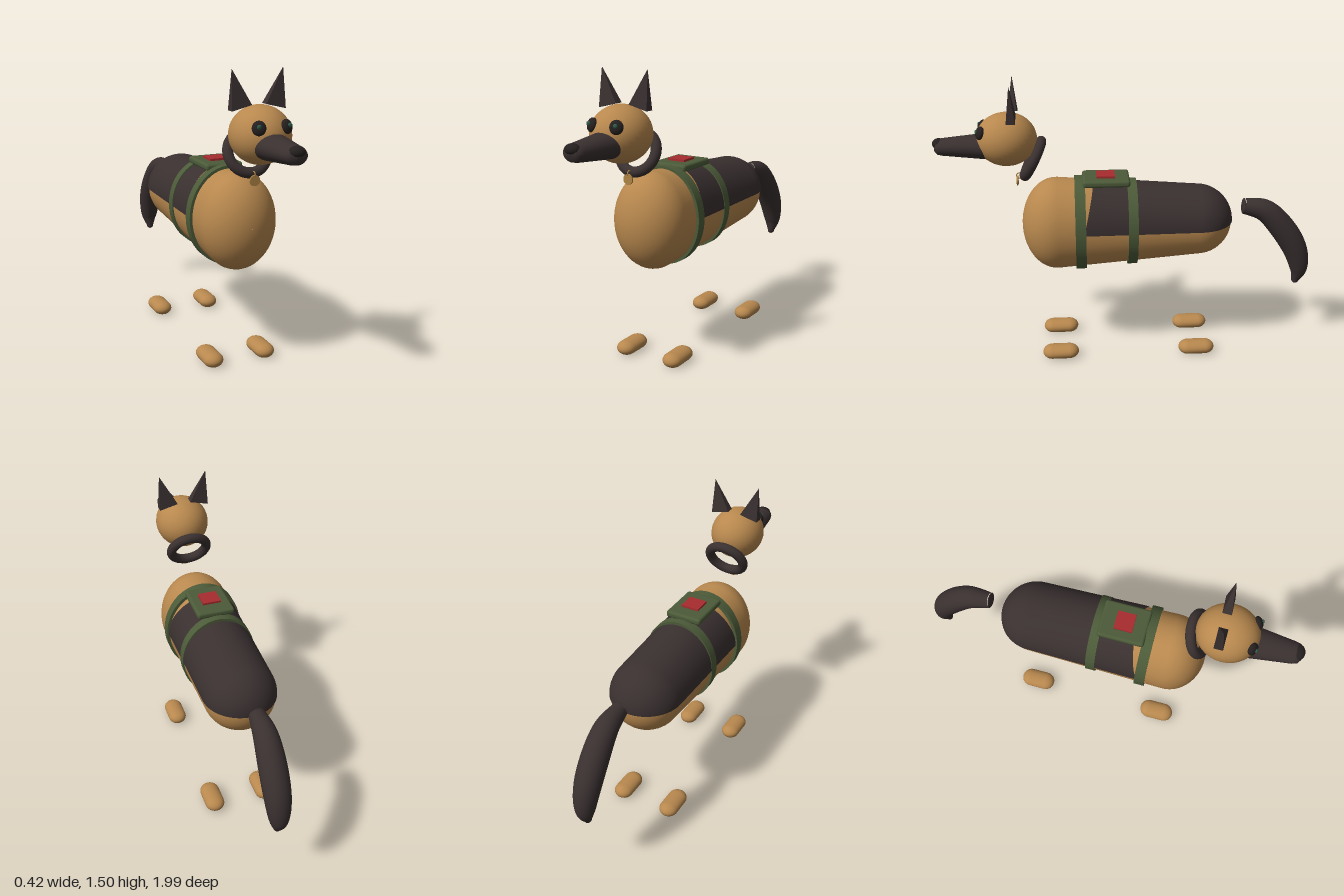
import * as THREE from 'three';
import { ParametricGeometry } from 'three/addons/geometries/ParametricGeometry.js';
import { RoundedBoxGeometry } from 'three/addons/geometries/RoundedBoxGeometry.js';

const mat = (name, color) => Object.assign(new THREE.MeshStandardMaterial({ color }), { name });

export function createModel() {
  const tan = mat('tan fur', 0xb8884e);
  const dark = mat('dark fur', 0x3a3030);
  const black = mat('black', 0x262020);
  const green = mat('harness green', 0x4c5b39);
  const red = mat('patch red', 0xa82c2e);
  const brass = mat('tag brass', 0xb08545);
  const iris = mat('iris green', 0x2f5a48);

  const model = new THREE.Group();
  model.name = 'dog';
  const add = (name, geometry, material, x = 0, y = 0, z = 0) => {
    const mesh = new THREE.Mesh(geometry, material);
    mesh.name = name;
    mesh.position.set(x, y, z);
    model.add(mesh);
    return mesh;
  };
  const ball = (rx, ry, rz) => new THREE.SphereGeometry(1, 32, 24).scale(rx, ry, rz);

  // Torso: tall oval chest tapering to a round rump, with domed ends
  const CY = 0.733, FRONT = 0.385, REAR = -0.36;
  const section = (z, o) => {
    const t = THREE.MathUtils.clamp((z - REAR) / (FRONT - REAR), 0, 1);
    const e = z > FRONT ? (z - FRONT) / (0.18 + o) : z < REAR ? (REAR - z) / (0.186 + o) : 0;
    const s = Math.sqrt(Math.max(0, 1 - e * e));
    return [(0.186 + 0.01 * t + o) * s, (0.186 + 0.063 * t + o) * s];
  };
  const shellPoint = (a, z, o, p) => {
    const [rx, ry] = section(z, o);
    p.set(rx * Math.cos(a), CY + ry * Math.sin(a), z);
  };
  const inset = (v) => 0.001 + 0.998 * v;
  add('torso', new ParametricGeometry((u, v, p) => {
    shellPoint(u * Math.PI * 2, 0.0095 - 0.5555 * Math.cos(Math.PI * inset(v)), 0, p);
  }, 48, 48), tan);

  // Dark saddle over the upper half of the torso
  add('saddle', new ParametricGeometry((u, v, p) => {
    const a = u * Math.PI;
    const front = 0.245 - 0.055 * Math.sin(a), back = -0.551;
    shellPoint(a, back + (front - back) * (1 - Math.cos(Math.PI / 2 * inset(v))), 0.005, p);
  }, 32, 40), dark);

  // Harness straps, flat oval bands
  const strap = (name, rx, ry, z, width) => {
    const shape = new THREE.Shape().absellipse(0, 0, rx, ry, 0, Math.PI * 2);
    shape.holes.push(new THREE.Path().absellipse(0, 0, rx - 0.02, ry - 0.02, 0, Math.PI * 2, true));
    const geometry = new THREE.ExtrudeGeometry(shape, { depth: width, bevelEnabled: false, curveSegments: 48 });
    add(name, geometry, green, 0, CY, z - width / 2);
  };
  strap('chestStrap', 0.209, 0.255, 0.26, 0.054);
  strap('bellyStrap', 0.198, 0.234, -0.011, 0.05);

  // Harness pad with patch
  add('harnessPad', new RoundedBoxGeometry(0.2, 0.036, 0.245, 3, 0.014), green, 0, 0.974, 0.122);
  add('patch', new THREE.BoxGeometry(0.098, 0.014, 0.096), red, 0, 0.996, 0.124);

  // Head, muzzle and nose
  add('head', ball(0.143, 0.137, 0.155), tan, 0, 1.2, 0.625);
  const muzzle = [[0.088, 0.68], [0.083, 0.74], [0.056, 0.95], [0.049, 0.975], [0.03, 0.988], [0, 0.992]];
  const muzzleGeometry = new THREE.LatheGeometry(muzzle.map(([r, z]) => new THREE.Vector2(r, z)), 32);
  add('muzzle', muzzleGeometry.rotateX(Math.PI / 2).scale(1, 0.78, 1), dark, 0, 1.165, 0);
  add('nose', ball(0.04, 0.026, 0.032), black, 0, 1.183, 0.968);

  // Eyes and ears
  for (const [side, s] of [['left', 1], ['right', -1]]) {
    const eye = add(side + 'Eye', ball(0.032, 0.034, 0.02), black, s * 0.068, 1.252, 0.75);
    eye.lookAt(s * 0.135, 1.3, 0.9);
    add(side + 'Iris', ball(0.011, 0.011, 0.007), iris, s * 0.075, 1.26, 0.767);

    const earGeometry = new THREE.ConeGeometry(Math.SQRT1_2, 0.18, 4, 1, false, Math.PI / 4).toNonIndexed();
    earGeometry.scale(0.102, 1, 0.045).computeVertexNormals();
    const ear = add(side + 'Ear', earGeometry, dark, s * 0.107, 1.41, 0.592);
    ear.rotation.z = -s * 0.24;
  }

  // Collar with hanging tag
  const collar = add('collar', new THREE.TorusGeometry(0.099, 0.026, 20, 48), dark, 0, 1.093, 0.496);
  collar.rotation.x = -0.48;
  add('tagRing', new THREE.TorusGeometry(0.014, 0.003, 8, 20).rotateY(Math.PI / 2), brass, 0, 1.003, 0.57);
  add('tag', new THREE.CylinderGeometry(0.026, 0.026, 0.008, 28).rotateX(Math.PI / 2), brass, 0, 0.976, 0.58);

  // Tail: x of each curve point holds the radius at that point
  const spine = new THREE.CatmullRomCurve3([
    [0.042, 0.802, -0.614], [0.06, 0.772, -0.73], [0.069, 0.665, -0.836],
    [0.065, 0.535, -0.915], [0.047, 0.42, -0.942], [0.02, 0.352, -0.928],
  ].map((p) => new THREE.Vector3(...p)));
  add('tail', new ParametricGeometry((u, v, p) => {
    const c = spine.getPoint(v), t = spine.getTangent(v).setX(0).normalize();
    const a = u * Math.PI * 2, n = c.x * Math.sin(a);
    p.set(c.x * Math.cos(a), c.y + n * t.z, c.z - n * t.y);
  }, 28, 40), dark);
  const root = add('tailRoot', ball(0.042, 0.042, 0.008), dark, 0, 0.802, -0.614);
  root.rotation.x = -0.12;
  add('tailTip', ball(0.02, 0.02, 0.02), dark, 0, 0.352, -0.928);

  // Paws: flattened capsules with a flat sole
  for (const [end, z] of [['front', 0.383], ['hind', -0.36]]) {
    for (const [side, s] of [['Left', 1], ['Right', -1]]) {
      const geometry = new THREE.CapsuleGeometry(0.052, 0.09, 12, 28).rotateX(Math.PI / 2);
      geometry.scale(1, 0.72, 1).translate(0, 0.032, 0);
      const pos = geometry.attributes.position;
      for (let i = 0; i < pos.count; i++) pos.setY(i, Math.max(0, pos.getY(i)));
      geometry.computeVertexNormals();
      add(end + side + 'Paw', geometry, tan, s * 0.143, 0, z);
    }
  }
  return model;
}
